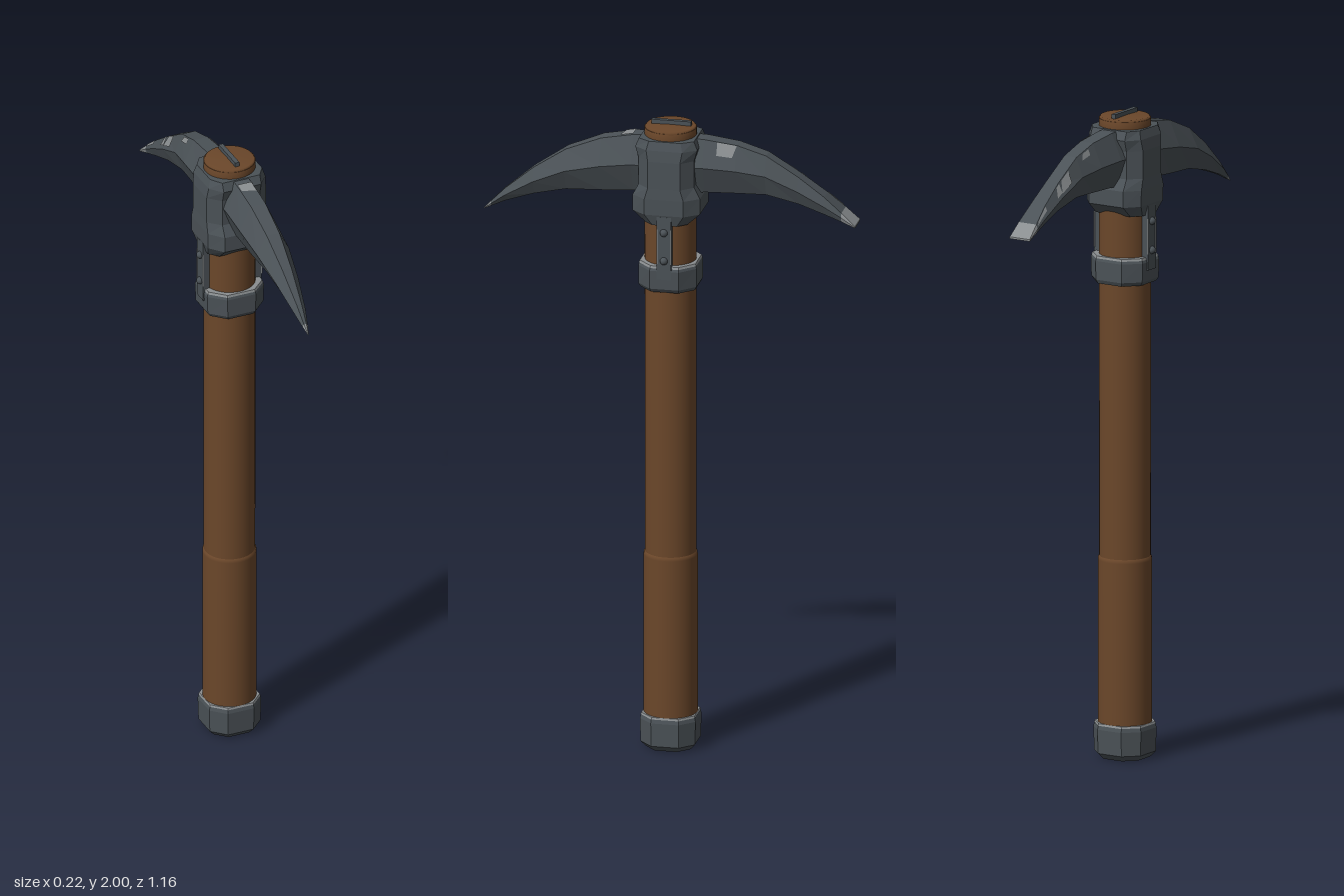
import * as THREE from 'three';

const mat = (name, color) => Object.assign(new THREE.MeshStandardMaterial({ color }), { name });

// Flat-faced skin through equal-sized rings, counter-clockwise around the direction of travel
function loft(rings) {
  const out = [];
  const tri = (...pts) => pts.forEach(p => out.push(p.x, p.y, p.z));
  const n = rings[0].length;
  for (let j = 0; j < rings.length - 1; j++) {
    for (let i = 0; i < n; i++) {
      const k = (i + 1) % n, a = rings[j], b = rings[j + 1];
      tri(a[i], a[k], b[k]);
      tri(a[i], b[k], b[i]);
    }
  }
  const first = rings[0], last = rings[rings.length - 1];
  for (let i = 1; i < n - 1; i++) {
    tri(first[0], first[i + 1], first[i]);
    tri(last[0], last[i], last[i + 1]);
  }
  const g = new THREE.BufferGeometry();
  g.setAttribute('position', new THREE.Float32BufferAttribute(out, 3));
  g.computeVertexNormals();
  return g;
}

// Octagon with half-widths hx, hz; cx and cz are where its flat sides end
const octagon = (y, hx, hz, cx = hx * 0.5, cz = hz * 0.5) =>
  [[cx, hz], [hx, cz], [hx, -cz], [cx, -hz], [-cx, -hz], [-hx, -cz], [-hx, cz], [-cx, hz]]
    .map(([x, z]) => new THREE.Vector3(x, y, z));

// Six-sided blade section: widest at the middle, narrow flats above and below
function bladeRing([z, top, bottom, w, flat]) {
  const s = Math.sign(z), mid = bottom + (top - bottom) * 0.52;
  return [[w, mid], [flat, top], [-flat, top], [-w, mid], [-flat, bottom], [flat, bottom]]
    .map(([x, y]) => new THREE.Vector3(x * s, y, z));
}

// Thin worn patch lying on one face of a blade
function patchGeometry(rings, seg, face, u0, u1, v0, v1) {
  const a = rings[seg], b = rings[seg + 1], k = (face + 1) % 6;
  const at = (u, v) => a[face].clone().lerp(a[k], v).lerp(b[face].clone().lerp(b[k], v), u);
  const p = [at(u0, v0), at(u0, v1), at(u1 - 0.12, v1), at(u1, v0)];
  const normal = p[1].clone().sub(p[0]).cross(p[3].clone().sub(p[0])).normalize();
  p.forEach(q => q.addScaledVector(normal, 0.003));
  const g = new THREE.BufferGeometry().setFromPoints([p[0], p[1], p[2], p[0], p[2], p[3]]);
  g.computeVertexNormals();
  return g;
}

export function createModel() {
  const wood = mat('wood', 0x6b472a);
  const steel = mat('steel', 0x4b5257);
  const worn = mat('wornSteel', 0x8a8e90);
  worn.side = THREE.DoubleSide;
  const model = new THREE.Group();
  model.name = 'pickaxe';
  const add = (name, geometry, material, x = 0, y = 0, z = 0) => {
    const m = new THREE.Mesh(geometry, material);
    m.name = name;
    m.position.set(x, y, z);
    model.add(m);
    return m;
  };
  const turned = pts => new THREE.LatheGeometry(pts.map(p => new THREE.Vector2(...p)), 40);

  // Handle shaft, slightly thicker grip, and the wedge in the top
  add('handle', new THREE.CylinderGeometry(0.079, 0.078, 1.37, 40), wood, 0, 1.295);
  add('handleTop', turned([[0.079, 1.96], [0.079, 1.978], [0.074, 1.986], [0, 1.988]]), wood);
  add('grip', turned([[0.08, 0.08], [0.082, 0.1], [0.082, 0.612], [0.081, 0.62], [0.077, 0.625]]), wood);
  add('wedge', new THREE.BoxGeometry(0.014, 0.04, 0.122), steel, 0, 1.98, -0.003);

  // Butt cap and collar with bright upper rims
  add('buttCap', loft([
    octagon(0, 0.068, 0.068), octagon(0.018, 0.084, 0.084),
    octagon(0.092, 0.086, 0.086), octagon(0.108, 0.082, 0.082)]), steel);
  add('collar', loft([
    octagon(1.475, 0.084, 0.084), octagon(1.487, 0.092, 0.09),
    octagon(1.545, 0.094, 0.09), octagon(1.558, 0.089, 0.086)]), steel);
  add('buttCapRim', loft([octagon(0.104, 0.0842, 0.0842), octagon(0.11, 0.082, 0.082)]), worn);
  add('collarRim', loft([octagon(1.553, 0.0918, 0.0885), octagon(1.56, 0.089, 0.086)]), worn);

  // Head socket wrapped around the handle
  add('headSocket', loft([
    [1.69, 0.088, 0.065], [1.725, 0.098, 0.104], [1.775, 0.099, 0.104], [1.81, 0.098, 0.086],
    [1.895, 0.098, 0.086], [1.93, 0.094, 0.096], [1.957, 0.086, 0.085],
  ].map(([y, hx, hz]) => octagon(y, hx, hz, 0.062, hz * 0.58))), steel);

  // Side straps and rivets joining socket and collar
  for (const s of [-1, 1]) {
    add('strap', new THREE.BoxGeometry(0.022, 0.2, 0.044), steel, s * 0.086, 1.62);
    for (const y of [1.58, 1.67]) {
      add('rivet', new THREE.SphereGeometry(0.012, 12, 8), steel, s * 0.097, y);
    }
    for (const z of [-0.021, 0.021]) {
      add('strapWornEdge', new THREE.BoxGeometry(0.004, 0.11, 0.004), worn, s * 0.0965, 1.625, z);
    }
  }

  // Front spike: z, top, bottom, half-width, half-width of the flats
  const spike = [
    [0.05, 1.955, 1.77, 0.058, 0.024], [0.11, 1.953, 1.775, 0.06, 0.025],
    [0.21, 1.934, 1.768, 0.06, 0.024], [0.32, 1.889, 1.762, 0.053, 0.021],
    [0.42, 1.822, 1.738, 0.038, 0.015], [0.51, 1.746, 1.706, 0.021, 0.008],
    [0.555, 1.7, 1.684, 0.009, 0.004], [0.578, 1.675, 1.673, 0.001, 0.0005]].map(bladeRing);
  add('spike', loft(spike.slice(0, 7)), steel);
  add('spikeTip', loft(spike.slice(6)), worn);

  // Back blade ending in a flat chisel edge
  const chisel = [
    [-0.05, 1.955, 1.775, 0.058, 0.024], [-0.11, 1.953, 1.785, 0.06, 0.025],
    [-0.21, 1.941, 1.788, 0.055, 0.023], [-0.3, 1.914, 1.79, 0.045, 0.022],
    [-0.4, 1.853, 1.768, 0.041, 0.022], [-0.48, 1.797, 1.742, 0.039, 0.026],
    [-0.535, 1.752, 1.724, 0.037, 0.032], [-0.578, 1.714, 1.708, 0.037, 0.036]].map(bladeRing);
  add('chiselBlade', loft(chisel.slice(0, 7)), steel);
  add('chiselEdge', loft(chisel.slice(6)), worn);

  // Worn patches: blade, segment, face, range along, range across
  for (const [rings, ...area] of [
    [spike, 1, 1, 0, 0.42, 0.05, 0.95],
    [chisel, 1, 2, 0.4, 1, 0.02, 0.5],
    [chisel, 3, 0, 0.5, 1, 0.25, 0.95],
    [chisel, 4, 0, 0, 0.3, 0.3, 0.95],
    [chisel, 5, 0, 0, 0.95, 0.5, 0.95],
    [chisel, 2, 0, 0.35, 0.8, 0.7, 0.95],
  ]) add('wornPatch', patchGeometry(rings, ...area), worn);

  return model;
}
